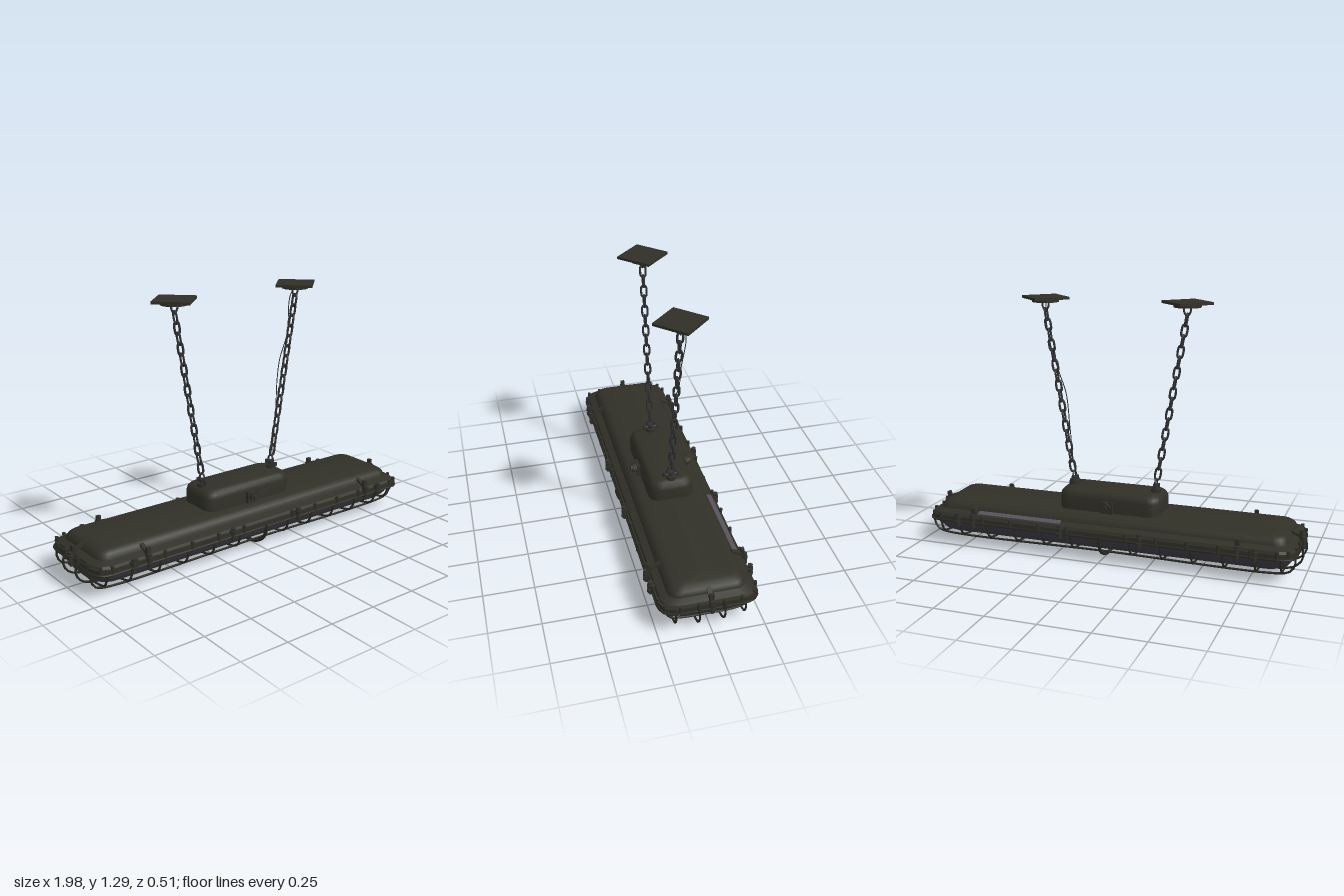
import * as THREE from 'three';
import { toCreasedNormals } from 'three/addons/utils/BufferGeometryUtils.js';

const mat = (name, color) => Object.assign(new THREE.MeshStandardMaterial({ color }), { name });
const V = (x, y, z) => new THREE.Vector3(x, y, z);

// Outline of a rectangle with rounded (n > 1) or chamfered (n = 1) corners
function outline(hx, hz, r, n) {
  const pts = [];
  [[1, 1], [-1, 1], [-1, -1], [1, -1]].forEach(([sx, sz], q) => {
    for (let i = 0; i <= n; i++) {
      const a = (q + i / n) * Math.PI / 2;
      pts.push([sx * (hx - r) + r * Math.cos(a), sz * (hz - r) + r * Math.sin(a)]);
    }
  });
  return pts;
}

// Loft of stacked outlines, bottom to top: [halfX, halfZ, y, cornerRadius]
function loft(rings, n = 5, crease = 0.6) {
  const pos = [], idx = [], m = 4 * (n + 1), last = (rings.length - 1) * m;
  rings.forEach(([hx, hz, y, r]) => outline(hx, hz, r, n).forEach(([x, z]) => pos.push(x, y, z)));
  pos.push(0, rings[0][2], 0, 0, rings[rings.length - 1][2], 0);
  const bottom = last + m, top = bottom + 1;
  for (let j = 0; j < m; j++) {
    const k = (j + 1) % m;
    for (let i = 0; i < last; i += m) idx.push(i + j, i + m + j, i + k, i + k, i + m + j, i + m + k);
    idx.push(bottom, j, k, top, last + k, last + j);
  }
  const g = new THREE.BufferGeometry();
  g.setAttribute('position', new THREE.Float32BufferAttribute(pos, 3));
  g.setIndex(idx);
  return toCreasedNormals(g, crease);
}

const wire = (pts, r, seg = 40, closed = false) =>
  new THREE.TubeGeometry(new THREE.CatmullRomCurve3(pts, closed, 'centripetal'), seg, r, 6, closed);

export function createModel() {
  const root = new THREE.Group();
  root.name = 'hangingCageLamp';
  const paint = mat('olivePaint', 0x303027);
  const steel = mat('darkSteel', 0x313133);
  const glass = mat('smokedGlass', 0x3e3b43);
  const cageMat = mat('cagePaint', 0x2a2a23);
  const plateMat = mat('greyStrip', 0x55525a);

  const add = (name, geo, material, x = 0, y = 0, z = 0, parent = root) => {
    const m = new THREE.Mesh(geo, material);
    m.name = name;
    m.position.set(x, y, z);
    parent.add(m);
    return m;
  };
  const box = (w, h, d) => new THREE.BoxGeometry(w, h, d);
  const cyl = (r, h, n = 12) => new THREE.CylinderGeometry(r, r, h, n);

  // Housing: rim, sloping flange, domed cover with a low ridge
  add('rim', loft([[0.965, 0.235, 0.12, 0.07], [0.965, 0.235, 0.15, 0.07]], 2, 0.3), paint);
  add('flange', loft([[0.96, 0.228, 0.15, 0.07], [0.955, 0.222, 0.162, 0.07], [0.92, 0.182, 0.178, 0.06]], 2, 0.3), paint);
  add('cover', loft([[0.925, 0.19, 0.16, 0.06], [0.922, 0.187, 0.18, 0.06], [0.912, 0.175, 0.2, 0.055],
    [0.895, 0.158, 0.213, 0.05], [0.87, 0.14, 0.217, 0.045], [0.83, 0.03, 0.228, 0.02]]), paint);

  // Glass bowl under the rim
  add('glassBowl', loft([[0.85, 0.11, 0.038, 0.06], [0.89, 0.145, 0.042, 0.07], [0.92, 0.175, 0.058, 0.08],
    [0.94, 0.198, 0.085, 0.085], [0.947, 0.208, 0.122, 0.085]], 6, 1), glass);

  // Grey strip on the rear slope
  const strip = add('slopeStrip', box(0.46, 0.004, 0.028), plateMat, 0.45, 0.174, -0.203);
  strip.rotation.x = -0.38;

  // Junction box on top
  add('junctionBox', loft([[0.27, 0.115, 0.205, 0.06], [0.27, 0.115, 0.285, 0.06], [0.265, 0.11, 0.305, 0.06],
    [0.25, 0.097, 0.32, 0.05], [0.23, 0.08, 0.325, 0.045]]), paint);

  // Cable glands on the front and back of the box
  for (const s of [1, -1]) {
    add('glandPlate', box(0.065, 0.06, 0.02), paint, 0, 0.25, s * 0.12);
    const nut = add('glandNut', cyl(0.026, 0.03, 6), paint, 0, 0.255, s * 0.135);
    nut.rotation.x = Math.PI / 2;
    const neck = add('glandNeck', cyl(0.014, 0.025), steel, 0, 0.255, s * 0.148);
    neck.rotation.x = Math.PI / 2;
  }

  // Cage hoops across the lamp
  const hoop = (x, r, drop, out) => wire([V(x, 0.135, -0.228 - out), V(x, 0.09, -0.222 - out), V(x, 0.05, -0.197 - out),
    V(x, 0.032 - drop, -0.14), V(x, 0.027 - drop, 0), V(x, 0.032 - drop, 0.14), V(x, 0.05, 0.197 + out),
    V(x, 0.09, 0.222 + out), V(x, 0.135, 0.228 + out)], r);
  for (let i = -5; i <= 5; i++) if (i) add('cageHoop', hoop(i * 0.156, 0.0055, 0, 0), cageMat);
  add('centreStrap', hoop(0, 0.009, 0.018, 0.012), cageMat);
  add('endHoop', hoop(0.9, 0.0055, -0.006, -0.02), cageMat);
  add('endHoop', hoop(-0.9, 0.0055, -0.006, -0.02), cageMat);

  // Cage wires along the lamp, turning up at both ends
  for (const [z, y] of [[-0.165, 0.036], [-0.06, 0.028], [0.06, 0.028], [0.165, 0.036]]) {
    const e = Math.abs(z) > 0.1 ? 0.955 : 0.975;
    add('cageLongWire', wire([V(-e, 0.145, z), V(-e - 0.008, 0.09, z), V(-e + 0.015, 0.05, z), V(-e + 0.06, y, z), V(0, y, z),
      V(e - 0.06, y, z), V(e - 0.015, 0.05, z), V(e + 0.008, 0.09, z), V(e, 0.145, z)], 0.0055, 80), cageMat);
  }

  // Side band of the cage
  const band = outline(0.967, 0.237, 0.07, 3).map(([x, z]) => V(x, 0.125, z));
  const bandPath = new THREE.CurvePath();
  band.forEach((p, i) => bandPath.add(new THREE.LineCurve3(p, band[(i + 1) % band.length])));
  add('cageBand', new THREE.TubeGeometry(bandPath, 160, 0.006, 6, true), cageMat);

  // Small bolts around the rim
  const bolts = [];
  for (const s of [-1, 1]) {
    for (let i = -5; i <= 5; i++) if (i) bolts.push([i * 0.156 + 0.02, s * 0.234]);
    for (const t of [-1, 1]) bolts.push([s * 0.965, t * 0.06], [s * 0.962, t * 0.145], [s * 0.935, t * 0.212], [s * 0.885, t * 0.232]);
  }
  bolts.forEach(([x, z]) => add('rimBolt', cyl(0.009, 0.05, 8), paint, x, 0.14, z));

  // Clamps and lugs on the long sides and ends
  const lugShape = new THREE.Shape().moveTo(-0.013, 0).lineTo(0.013, 0).lineTo(0.013, 0.04);
  lugShape.absarc(0, 0.04, 0.013, 0, Math.PI, false);
  lugShape.holes.push(new THREE.Path().absarc(0, 0.04, 0.006, 0, Math.PI * 2, true));
  const lugGeo = new THREE.ExtrudeGeometry(lugShape, { depth: 0.016, bevelEnabled: false, curveSegments: 8 })
    .rotateX(Math.PI / 2);
  const clamp = (x, z, turn, big) => {
    const g = new THREE.Group();
    g.name = 'clamp';
    g.position.set(x, 0, z);
    g.rotation.y = turn;
    root.add(g);
    add('lug', lugGeo, paint, 0, 0.158, -0.018, g);
    add('lowerLug', lugGeo, paint, 0, 0.13, -0.018, g);
    add('clampBolt', cyl(0.008, 0.07, 8), steel, 0, 0.137, 0.02, g);
    add('clampNut', cyl(0.013, 0.014, 6), steel, 0, 0.167, 0.02, g);
    if (big) {
      add('latch', box(0.022, 0.095, 0.016), paint, 0, 0.158, 0.008, g);
      const arm = add('latchArm', box(0.022, 0.012, 0.06), paint, 0, 0.188, -0.022, g);
      arm.rotation.x = 0.4;
    }
  };
  for (const s of [1, -1]) {
    for (const x of [-0.78, -0.695, -0.21, 0.21, 0.695, 0.78])
      clamp(x, s * 0.222, s > 0 ? 0 : Math.PI, Math.abs(x) === 0.695);
    clamp(s * 0.952, 0, s * Math.PI / 2, true);
  }

  // Oval chain link, standing in the xy plane
  const linkPts = [];
  for (const s of [1, -1])
    for (let i = 0; i <= 4; i++) {
      const a = i / 4 * Math.PI;
      linkPts.push(V(s * 0.013 * Math.cos(a), s * (0.019 + 0.012 * Math.sin(a)), 0));
    }
  const linkGeo = wire(linkPts, 0.0058, 28, true);

  for (const s of [1, -1]) {
    // Eyelet and shackle on the junction box
    add('eyeletBase', cyl(0.026, 0.025), paint, s * 0.222, 0.328, 0);
    add('eyeletPost', cyl(0.015, 0.035), steel, s * 0.222, 0.345, 0);
    const pin = add('shacklePin', cyl(0.007, 0.075, 8), steel, s * 0.222, 0.348, 0);
    pin.rotation.x = Math.PI / 2;
    for (const t of [1, -1]) add('pinHead', box(0.018, 0.022, 0.01), steel, s * 0.222, 0.348, t * 0.034);
    add('shackle', wire([V(0, 0, -0.018), V(0, 0.03, -0.018), V(0, 0.047, 0), V(0, 0.03, 0.018), V(0, 0, 0.018)], 0.005, 20),
      steel, s * 0.222, 0.345, 0);

    // Chain leaning outward
    for (let k = 0; k < 16; k++) {
      const y = 1.2 - k * 0.0521;
      const holder = new THREE.Group();
      holder.name = 'chainLinkHolder';
      holder.position.set(s * (0.22 + (y - 0.35) * 0.172), y, 0);
      holder.rotation.z = -s * 0.17;
      root.add(holder);
      add('chainLink', linkGeo, steel, 0, 0, 0, holder).rotation.y = k % 2 ? 0 : Math.PI / 2;
    }

    // Ceiling plate, boss and hook
    add('ceilingPlate', box(0.184, 0.013, 0.184), paint, s * 0.37, 1.284, 0).rotation.y = Math.PI / 4;
    add('ceilingBoss', cyl(0.068, 0.016, 24), paint, s * 0.37, 1.27, 0);
    add('ceilingHook', wire([V(-0.017, 0.04, 0), V(-0.016, 0.01, 0), V(0, -0.012, 0), V(0.016, 0.01, 0), V(0.017, 0.04, 0)], 0.005, 20),
      steel, s * 0.37, 1.23, 0);
  }

  // Thin power cable following one chain
  add('powerCable', wire([V(0.0, 0.255, 0.16), V(0.06, 0.258, 0.135), V(0.15, 0.285, 0.1), V(0.2, 0.33, 0.04), V(0.222, 0.4, 0.008),
    V(0.245, 0.6, 0.006), V(0.262, 0.8, -0.004), V(0.29, 0.9, -0.018), V(0.335, 1.03, -0.015), V(0.355, 1.17, -0.03),
    V(0.36, 1.22, -0.025), V(0.365, 1.265, 0)], 0.0025, 90), steel);

  return root;
}
